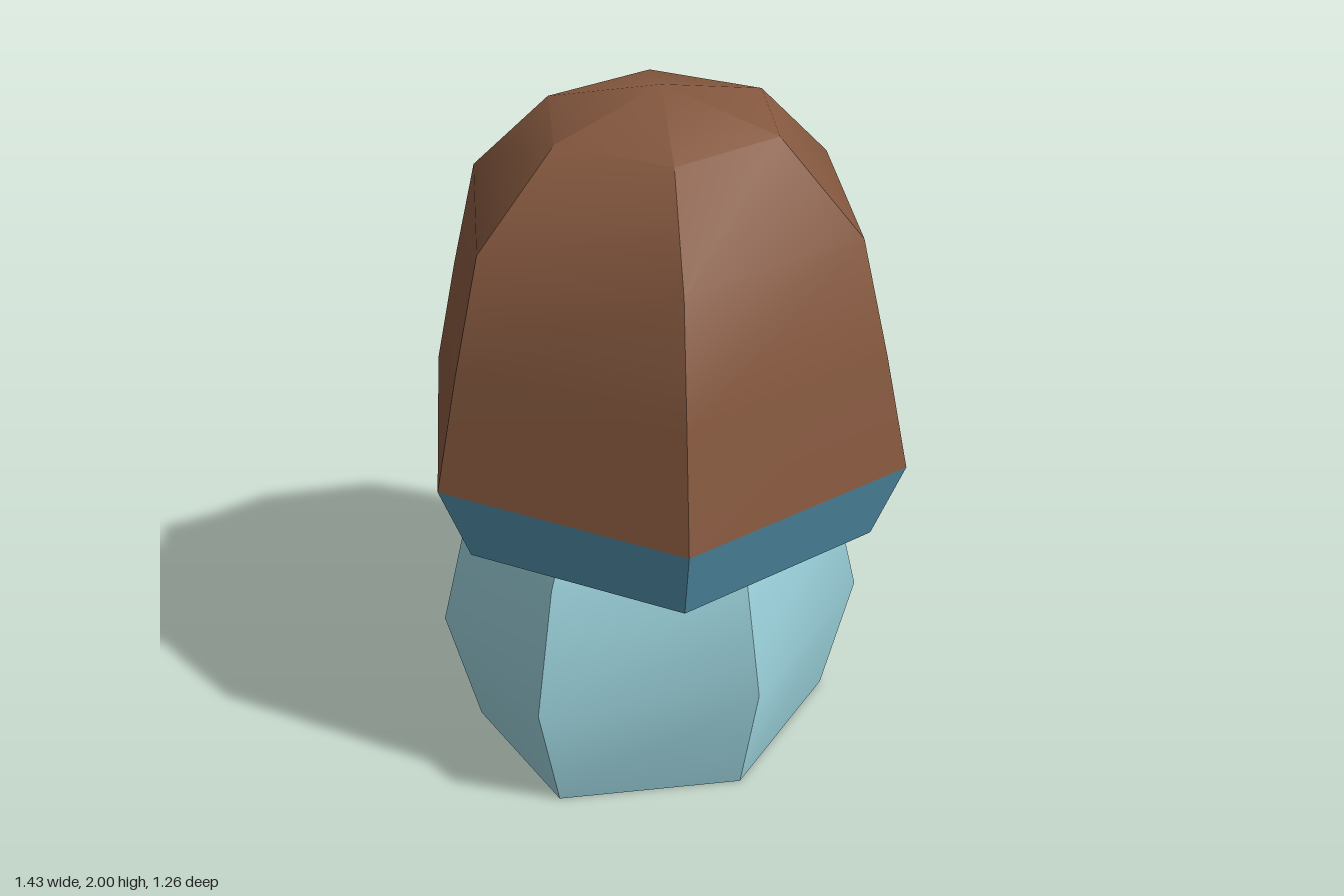
import * as THREE from 'three';
import { toCreasedNormals } from 'three/addons/utils/BufferGeometryUtils.js';

const mat = (name, color, side = THREE.FrontSide) => {
  const m = new THREE.MeshStandardMaterial({ color, side });
  m.name = name;
  return m;
};

// six-cornered ring at height y, corners running from +x towards +z
function ring(y, rx, rz, turn, cx = 0, cz = 0) {
  return Array.from({ length: 6 }, (_, k) => {
    const a = THREE.MathUtils.degToRad(turn + 60 * k);
    return new THREE.Vector3(cx + rx * Math.cos(a), y, cz + rz * Math.sin(a));
  });
}

// panels between an upper and a lower ring, leaving out one side if asked
function panels(upper, lower, skip = -1) {
  const pts = [];
  for (let k = 0; k < 6; k++) {
    if (k === skip) continue;
    const n = (k + 1) % 6;
    pts.push(upper[k], upper[n], lower[n], upper[k], lower[n], lower[k]);
  }
  return pts;
}

// closes a ring to a single point, facing up or down
function fan(r, tip, up) {
  return r.flatMap((p, k) => {
    const n = r[(k + 1) % 6];
    return up ? [tip, n, p] : [tip, p, n];
  });
}

function surface(name, pts, material) {
  const g = new THREE.BufferGeometry().setFromPoints(pts);
  const mesh = new THREE.Mesh(toCreasedNormals(g, 0.6), material);
  mesh.name = name;
  return mesh;
}

// closed six-sided solid from [y, scale] steps, top to bottom
function solid(name, steps, rx, rz, cx, cz, material) {
  const rings = steps.map(([y, s]) => ring(y, rx * s, rz * s, 90, cx, cz));
  const last = steps.length - 1;
  const pts = fan(rings[0], new THREE.Vector3(cx, steps[0][0], cz), true);
  for (let i = 0; i < last; i++) pts.push(...panels(rings[i], rings[i + 1]));
  pts.push(...fan(rings[last], new THREE.Vector3(cx, steps[last][0], cz), false));
  return surface(name, pts, material);
}

export function createModel() {
  const model = new THREE.Group();
  const brown = mat('hair brown', 0x85583f, THREE.DoubleSide);
  const blue = mat('band blue', 0x5596b0, THREE.DoubleSide);
  const pale = mat('body pale blue', 0x9ad0da);
  const skin = mat('face tan', 0xd4c88e);
  const black = mat('eye black', 0x1e2830);

  // barrel-shaped body with a rounded shoulder
  model.add(solid('body', [[1.02, 0.55], [0.9, 0.73], [0.74, 0.86], [0.37, 1], [0, 0.855]],
    0.64, 0.535, -0.015, -0.025, pale));

  // head, its ridge towards the opening at the back
  model.add(solid('head', [[1.8, 0.3], [1.68, 0.65], [1.5, 0.93], [1.33, 0.99], [1.2, 1], [0.9, 0.8]],
    0.52, 0.57, -0.005, -0.005, skin));

  // hair dome, with a side-swept fringe over the open side
  const hairRing = (y, r) => ring(y, r, r, -1.6);
  const crown = hairRing(1.915, 0.325);
  const upper = hairRing(1.68, 0.56);
  upper[5].set(0.11, 1.53, -0.54);
  const middle = hairRing(1.36, 0.642);
  const hem = hairRing(1.04, 0.715);
  model.add(surface('hair', [
    ...fan(crown, new THREE.Vector3(0, 2, 0), true),
    ...panels(crown, upper),
    ...panels(upper, middle, 4),
    ...panels(middle, hem, 4),
  ], brown));

  // band under the hair, tucked inwards beside the opening
  const bandEdge = hairRing(0.805, 0.628);
  bandEdge[4].set(-0.41, 0.82, -0.27);
  bandEdge[5].set(0.4, 0.82, -0.27);
  model.add(surface('hairBand', panels(hem, bandEdge, 4), blue));
  model.add(surface('hairUnderside', fan(bandEdge, new THREE.Vector3(0, 0.68, 0), false), brown));

  // flattened eyes, one on each side of the ridge
  for (const side of [1, -1]) {
    const eye = new THREE.Mesh(new THREE.SphereGeometry(0.07, 8, 6), black);
    eye.name = side > 0 ? 'leftEye' : 'rightEye';
    eye.scale.set(0.75, 1, 0.75);
    eye.position.set(side * 0.25, 1.27, -0.435);
    eye.rotation.y = -side * 0.55;
    model.add(eye);
  }
  return model;
}
